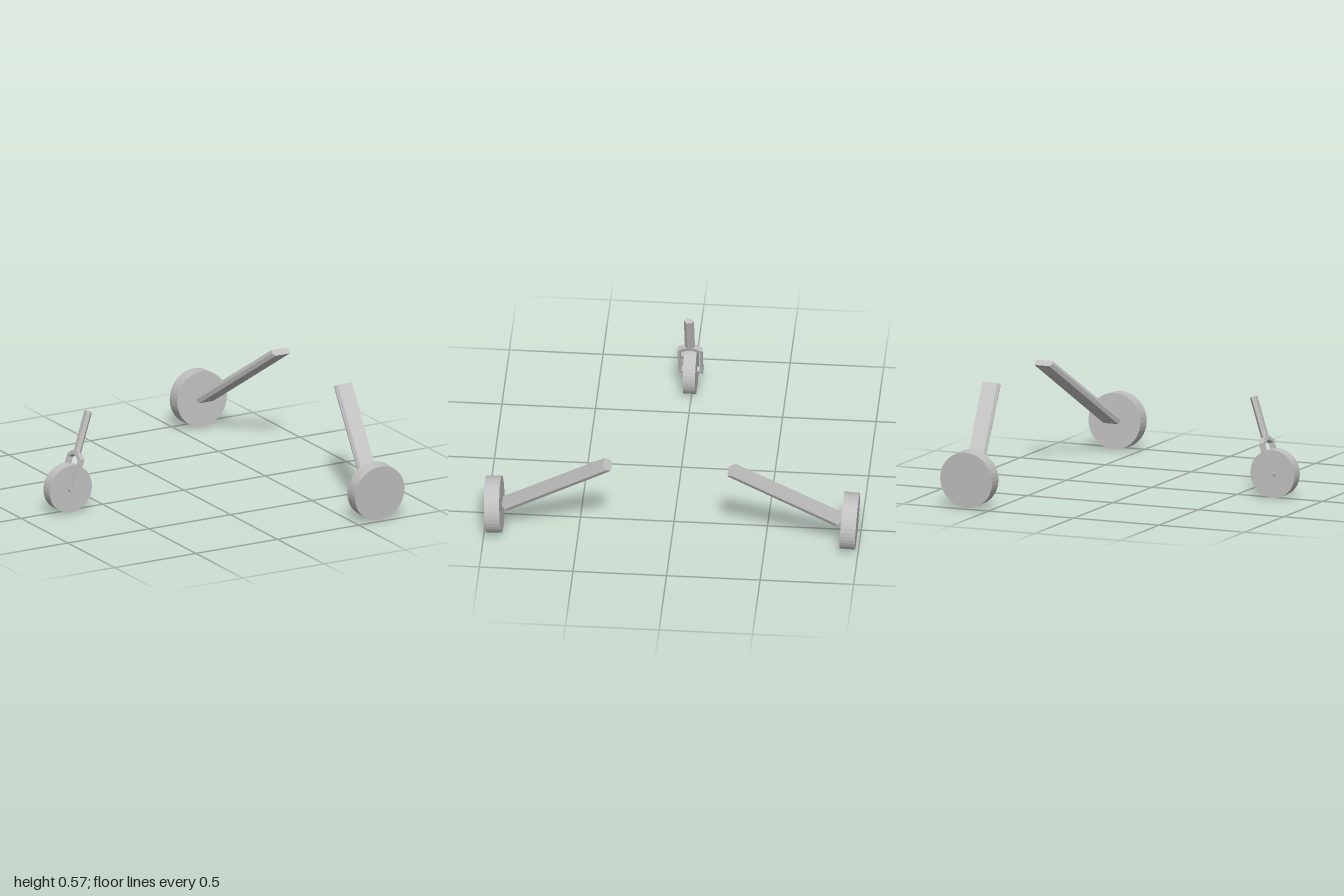
import * as THREE from 'three';
import { ConvexGeometry } from 'three/addons/geometries/ConvexGeometry.js';

export function createModel() {
  const model = new THREE.Group();
  model.name = 'landingGear';
  const gray = new THREE.MeshStandardMaterial({ color: 0xc0c0c0, flatShading: true });
  gray.name = 'gray metal';

  const add = (parent, name, geometry, x = 0, y = 0, z = 0) => {
    const mesh = new THREE.Mesh(geometry, gray);
    mesh.name = name;
    mesh.position.set(x, y, z);
    parent.add(mesh);
    return mesh;
  };

  // Main gear: a slightly cambered wheel and a sloping six-sided leg on each side
  for (const s of [1, -1]) {
    const side = s > 0 ? 'Front' : 'Back';
    const wheel = add(model, 'mainWheel' + side, new THREE.CylinderGeometry(0.152, 0.152, 0.082, 40), 0.635, 0.156, s * 0.95);
    wheel.rotation.x = Math.PI / 2 + s * 0.053;

    // each end: centre x, then y and z of the upper and lower face
    const ends = [
      [0.787, 0.568, 0.354, 0.547, 0.311],
      [0.64, 0.182, 0.906, 0.15, 0.874],
    ];
    const points = [];
    for (const [x, yu, zu, yl, zl] of ends) {
      for (const d of [-1, 1]) {
        points.push(
          new THREE.Vector3(x + d * 0.043, yu, s * zu),
          new THREE.Vector3(x + d * 0.053, (yu + yl) / 2, s * (zu + zl) / 2),
          new THREE.Vector3(x + d * 0.043, yl, s * zl),
        );
      }
    }
    add(model, 'mainLeg' + side, new ConvexGeometry(points));
  }

  // Nose wheel and axle
  const nose = new THREE.Group();
  nose.name = 'noseGear';
  nose.position.set(-0.718, 0.13, 0.008);
  model.add(nose);
  add(nose, 'noseWheel', new THREE.CylinderGeometry(0.13, 0.13, 0.066, 40).rotateX(Math.PI / 2));
  add(nose, 'noseAxle', new THREE.CylinderGeometry(0.017, 0.017, 0.132, 12).rotateX(Math.PI / 2));

  // Leaning fork and strut
  const leg = new THREE.Group();
  leg.name = 'noseLeg';
  leg.rotation.z = -0.3;
  nose.add(leg);

  const half = [[0.05, -0.015], [0.066, -0.015], [0.066, 0.174], [0.027, 0.2]];
  const inner = [[0.016, 0.18], [0.05, 0.16]];
  const outline = [
    ...half, ...half.map(([z, y]) => [-z, y]).reverse(),
    ...inner.map(([z, y]) => [-z, y]).reverse(), ...inner,
  ];
  const forkShape = new THREE.Shape(outline.map(([z, y]) => new THREE.Vector2(z, y)));
  const fork = new THREE.ExtrudeGeometry(forkShape, { depth: 0.03, bevelEnabled: false });
  add(leg, 'noseFork', fork.translate(0, 0, -0.015).rotateY(Math.PI / 2));

  const strut = new THREE.CylinderGeometry(0.027, 0.027, 0.236, 6).scale(0.7, 1, 1);
  add(leg, 'noseStrut', strut, 0, 0.306, 0);

  return model;
}
